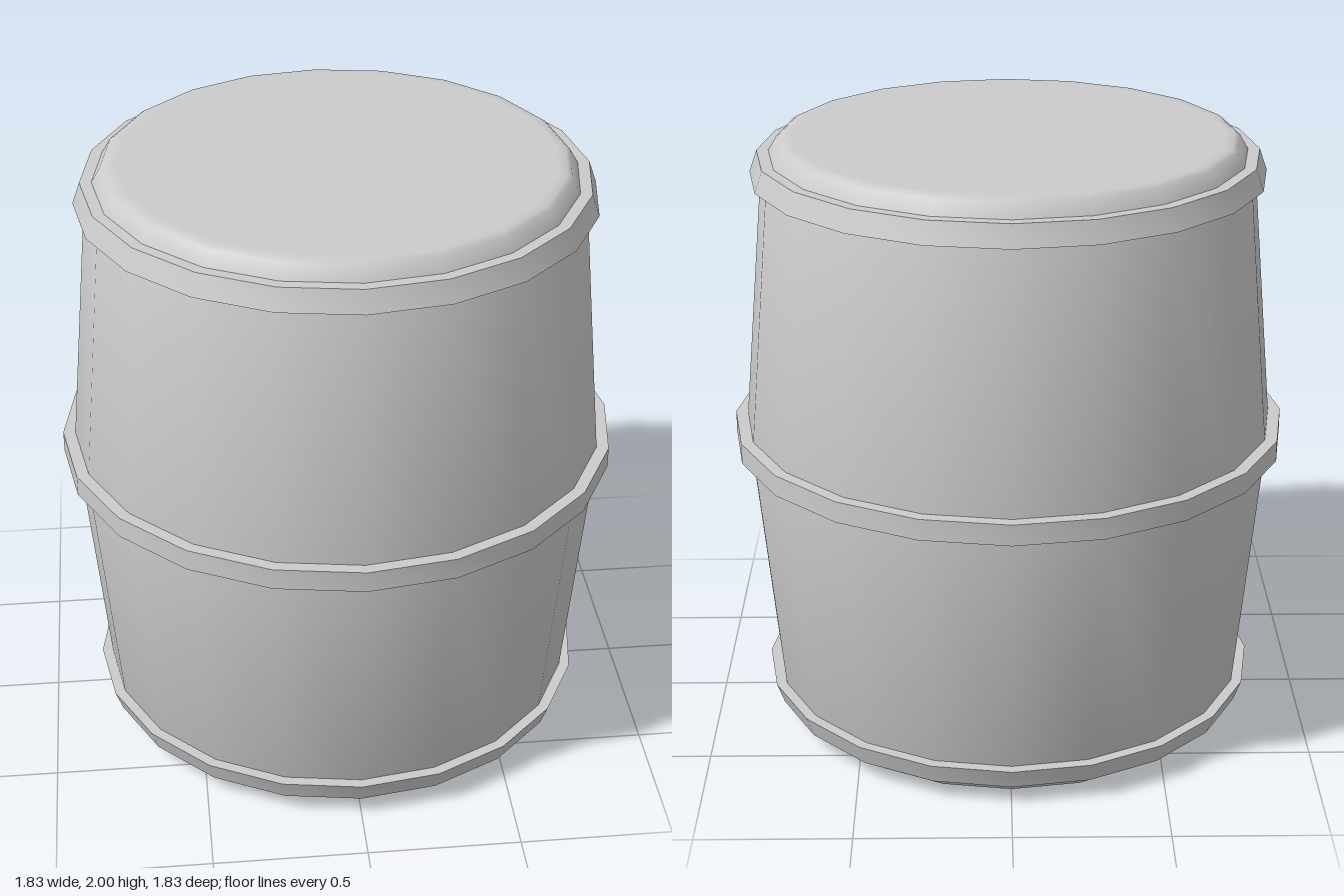
import * as THREE from 'three';
import { toCreasedNormals } from 'three/addons/utils/BufferGeometryUtils.js';

const SIDES = 20;

export function createModel() {
  const barrel = new THREE.Group();
  barrel.name = 'barrel';
  const material = new THREE.MeshStandardMaterial({ color: 0xcccccc });

  // Revolves a bottom-to-top profile of [radius, y], keeping sharp edges.
  function turn(name, profile) {
    const points = profile.map(([r, y]) => new THREE.Vector2(r, y));
    const geometry = toCreasedNormals(new THREE.LatheGeometry(points, SIDES), 0.7);
    const mesh = new THREE.Mesh(geometry, material);
    mesh.name = name;
    barrel.add(mesh);
  }

  // Bulging body with a chamfered foot and a softly rounded lid
  turn('body', [
    [0, 0], [0.717, 0], [0.77, 0.065], [0.8, 0.138],
    [0.88, 1.005],
    [0.8, 1.873], [0.772, 1.945], [0.745, 1.99], [0.73, 2], [0.7, 2], [0, 2],
  ]);

  // Hoops: [name, bottom y, top y, bottom radius, top radius, inner radius]
  const hoops = [
    ['bottomHoop', 0.065, 0.135, 0.81, 0.835, 0.76],
    ['middleHoop', 0.97, 1.04, 0.917, 0.917, 0.86],
    ['topHoop', 1.875, 1.945, 0.835, 0.81, 0.76],
  ];
  for (const [name, y0, y1, r0, r1, inner] of hoops) {
    turn(name, [[inner, y0], [r0, y0], [r1, y1], [inner, y1]]);
  }

  return barrel;
}
